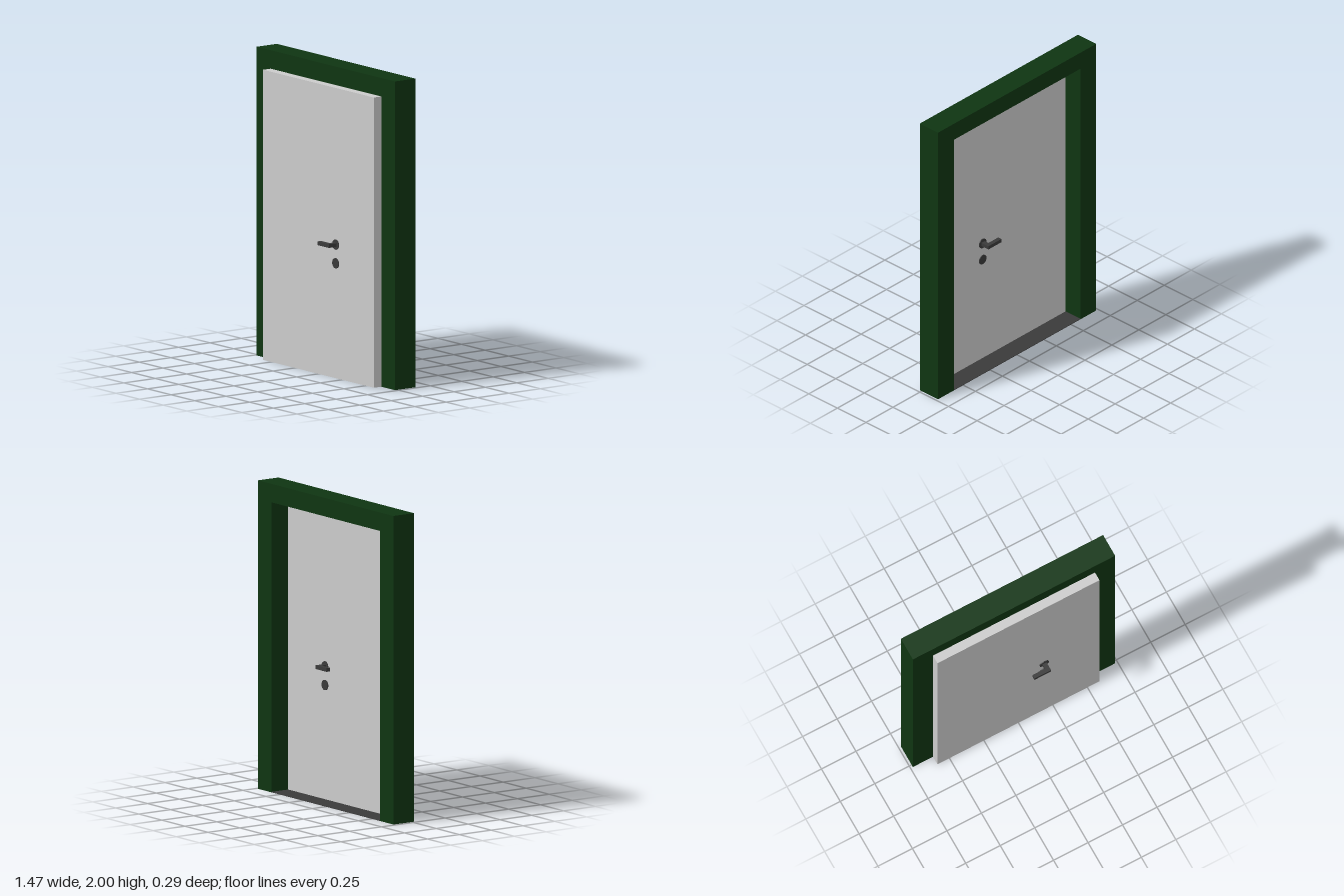
import * as THREE from 'three';

const DOOR_W = 1.174, DOOR_H = 1.88, DOOR_BACK = -0.013, DOOR_FRONT = 0.076;
const FRAME_W = 1.466, FRAME_BACK = -0.143, FRAME_FRONT = 0.017;
const HANDLE_X = 0.185, LEVER_Y = 0.866, KEY_Y = 0.745;

const green = new THREE.MeshStandardMaterial({ color: 0x0f3512 });
const grey = new THREE.MeshStandardMaterial({ color: 0xcccccc });
const dark = new THREE.MeshStandardMaterial({ color: 0x3a3a3a });

function part(name, geometry, material, x = 0, y = 0, z = 0) {
  const mesh = new THREE.Mesh(geometry, material);
  mesh.name = name;
  mesh.position.set(x, y, z);
  return mesh;
}

// Box given by its minimum and maximum corners
function box(name, material, [x0, y0, z0], [x1, y1, z1]) {
  return part(name, new THREE.BoxGeometry(x1 - x0, y1 - y0, z1 - z0), material,
    (x0 + x1) / 2, (y0 + y1) / 2, (z0 + z1) / 2);
}

// Round cover plate lying against the door, facing +z
function rose(name, y) {
  const disc = new THREE.CylinderGeometry(0.033, 0.033, 0.006, 32).rotateX(Math.PI / 2);
  return part(name, disc, dark, HANDLE_X, y, 0.003);
}

// Handle set with z = 0 on the door surface; dir is +1 for front, -1 for back
function handleSet(name, surface, dir) {
  const set = new THREE.Group();
  set.name = name;
  set.add(rose('handleRose', LEVER_Y), rose('keyRose', KEY_Y));
  set.add(box('spindle', dark, [0.17, LEVER_Y - 0.012, 0], [0.2, LEVER_Y + 0.012, 0.039]));
  set.add(box('lever', dark, [0.079, LEVER_Y - 0.012, 0.039], [0.2, LEVER_Y + 0.012, 0.067]));
  // The back set is mirrored through the door
  set.scale.z = dir;
  set.position.z = surface;
  return set;
}

export function createModel() {
  const model = new THREE.Group();
  model.name = 'door';
  const w = FRAME_W / 2, d = DOOR_W / 2;

  // Frame: an upside-down U in one piece
  const outline = new THREE.Shape([
    [-w, 0], [-d, 0], [-d, DOOR_H], [d, DOOR_H], [d, 0], [w, 0], [w, 2], [-w, 2],
  ].map(([x, y]) => new THREE.Vector2(x, y)));
  const frame = new THREE.ExtrudeGeometry(outline, { depth: FRAME_FRONT - FRAME_BACK, bevelEnabled: false });
  model.add(part('frame', frame, green, 0, 0, FRAME_BACK));

  // Thin threshold closing the floor of the opening behind the door
  model.add(box('threshold', dark, [-d, 0, FRAME_BACK], [d, 0.004, DOOR_BACK]));

  // Door leaf, standing proud of the frame at the front
  model.add(box('doorLeaf', grey, [-d, 0, DOOR_BACK], [d, DOOR_H, DOOR_FRONT]));

  model.add(handleSet('frontHandle', DOOR_FRONT, 1));
  model.add(handleSet('backHandle', DOOR_BACK, -1));
  return model;
}
